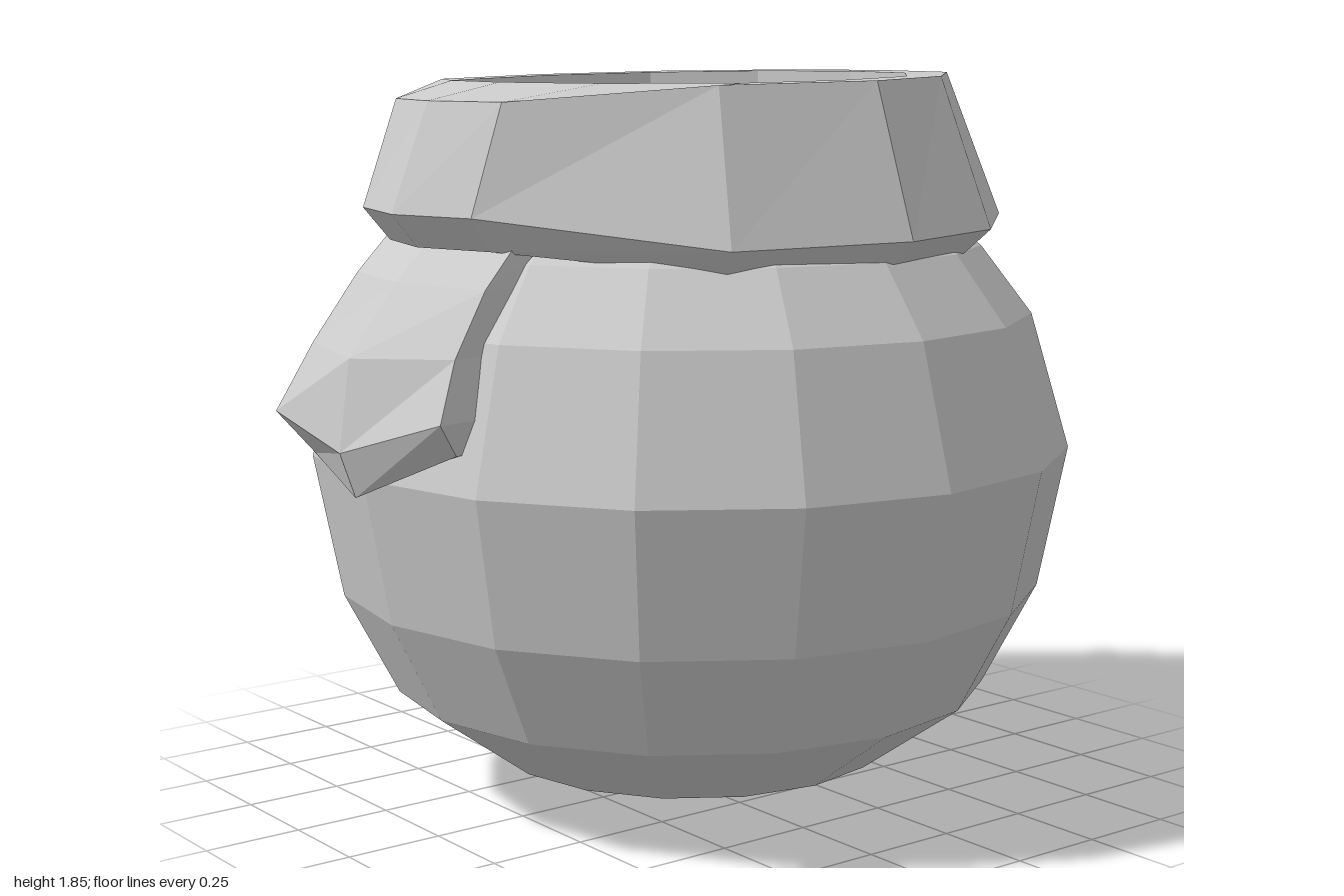
import * as THREE from 'three';

const grey = () => new THREE.MeshStandardMaterial({ color: 0xcccccc, flatShading: true, side: THREE.DoubleSide });

// Skins a list of equal-length rows of [x, y, z] points
function loft(rows, closed) {
  const n = rows[0].length, index = [];
  for (let i = 0; i < rows.length - 1; i++) {
    for (let j = 0; j < (closed ? n : n - 1); j++) {
      const a = i * n + j, a2 = i * n + (j + 1) % n;
      index.push(a, a + n, a2, a + n, a2 + n, a2);
    }
  }
  const g = new THREE.BufferGeometry();
  g.setAttribute('position', new THREE.Float32BufferAttribute(rows.flat(2), 3));
  g.setIndex(index);
  g.computeVertexNormals();
  return g;
}

function part(name, geometry) {
  const mesh = new THREE.Mesh(geometry, grey());
  mesh.name = name;
  return mesh;
}

export function createModel() {
  const model = new THREE.Group();
  model.name = 'collaredPot';

  // Round body with a slightly flattened dome
  const profile = [
    [0, 0], [0.26, 0.025], [0.51, 0.105], [0.765, 0.29], [0.9, 0.55], [0.97, 0.91],
    [0.87, 1.25], [0.74, 1.42], [0.5, 1.6], [0.25, 1.7], [0, 1.73],
  ].map(([x, y]) => new THREE.Vector2(x, y));
  const body = part('body', new THREE.LatheGeometry(profile, 16));
  body.position.z = -0.03;
  model.add(body);

  // Collar outlines as [x, z], from the back round by the left to the front
  const hem = [[0, -0.86], [0.4, -0.74], [0.71, -0.4], [0.8, -0.06], [0.68, 0.38], [0.25, 0.79],
    [0.02, 0.86], [-0.23, 0.79], [-0.69, 0.36], [-0.82, -0.05], [-0.73, -0.41], [-0.42, -0.71]];
  const rim = [[-0.02, -0.7], [0.31, -0.63], [0.56, -0.37], [0.67, -0.06], [0.57, 0.33], [0.26, 0.71],
    [0.04, 0.77], [-0.2, 0.71], [-0.58, 0.34], [-0.69, -0.04], [-0.61, -0.41], [-0.35, -0.63]];
  const mouth = [[-0.03, -0.6], [0.26, -0.53], [0.48, -0.33], [0.56, -0.05], [0.5, 0.2], [0.3, 0.46],
    [0.01, 0.55], [-0.28, 0.5], [-0.5, 0.28], [-0.58, 0], [-0.52, -0.3], [-0.32, -0.52]];
  // Places an outline at a height, with its own height for the three front points
  const ring = (pts, y, frontY = y, s = 1) =>
    pts.map(([x, z], i) => [x * s, i > 4 && i < 8 ? frontY : y - z * 0.02, z * s]);

  model.add(part('collar', loft([
    ring(hem, 1.46, 1.46, 0.78),
    ring(hem, 1.41, 1.45, 0.92),
    ring(hem, 1.47, 1.53),
    ring(rim, 1.835, 1.79),
    ring(mouth, 1.835, 1.83),
    ring(mouth, 1.5),
  ], true)));

  // Flap hanging from the front of the collar, with folded-back edges
  const flapRows = [
    [[-0.28, 1.47, 0.68], [0, 1.47, 0.74], [0.27, 1.47, 0.68]],
    [[-0.28, 1.37, 0.78], [0, 1.37, 0.84], [0.29, 1.37, 0.78]],
    [[-0.33, 1.2, 0.88], [0, 1.2, 0.97], [0.3, 1.22, 0.87]],
    [[-0.38, 1.03, 0.96], [0, 0.98, 1.0], [0.33, 1.08, 0.93]],
    [[-0.35, 0.92, 0.87], [0, 0.87, 0.96], [0.3, 1.0, 0.87]],
    [[-0.3, 0.94, 0.78], [0, 0.9, 0.86], [0.27, 1.0, 0.78]],
  ];
  const tuck = ([x, y, z]) => [x * 0.94, y, z - 0.12];
  model.add(part('frontFlap', loft(flapRows.map((r) => [tuck(r[0]), ...r, tuck(r[2])]), false)));

  return model;
}
